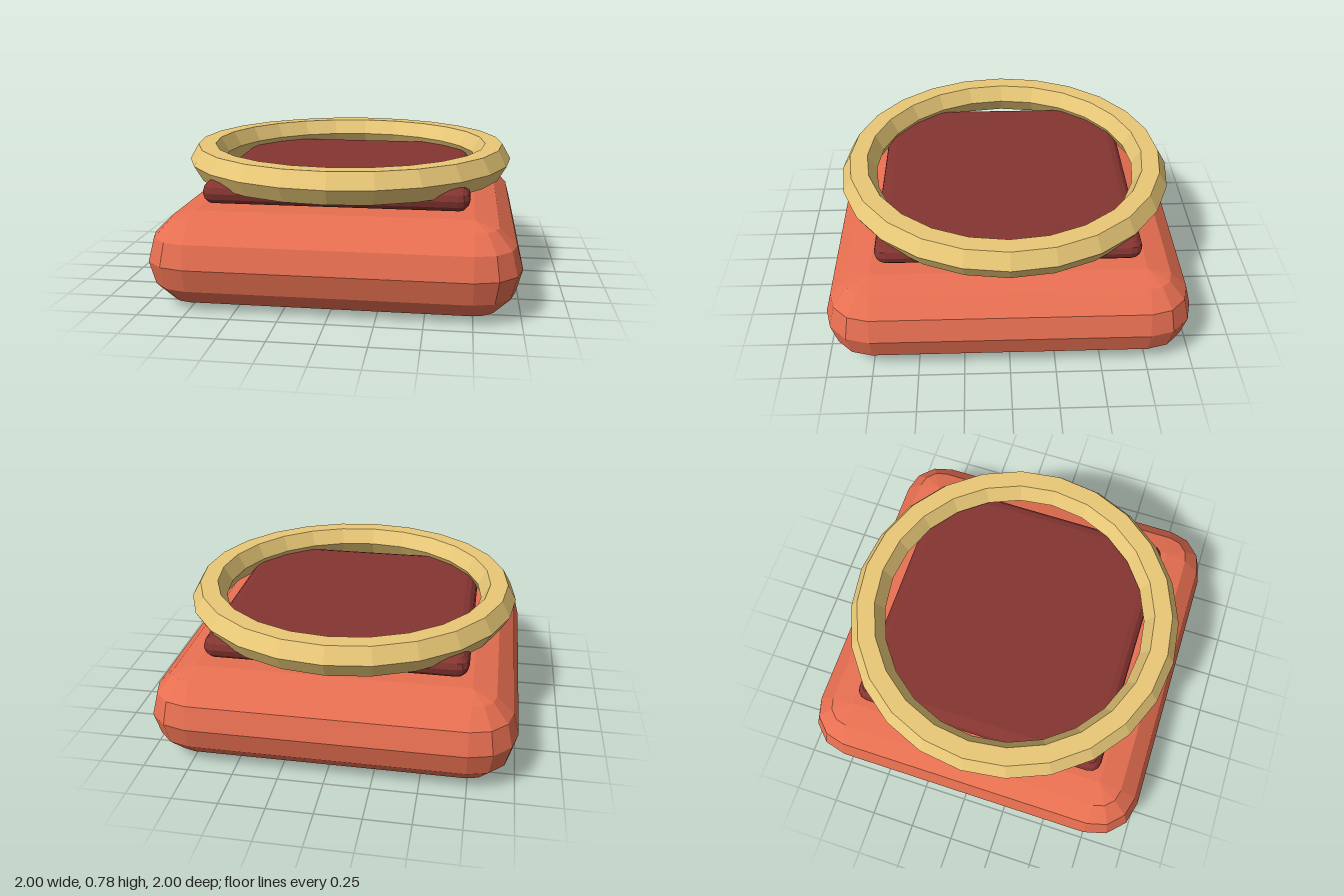
import * as THREE from 'three';

const mat = (color) => new THREE.MeshStandardMaterial({ color, flatShading: true });

// Square pillow with fully rounded rim: a loft of rounded-square rings, standing on y = 0
function pillowGeometry(half, height, steps) {
  const r = height / 2, core = half - r;
  const positions = [], index = [];
  const rows = steps * 2, count = 4 * (steps + 1);
  for (let i = 0; i <= rows; i++) {
    const lat = (i / rows - 0.5) * Math.PI;
    const ringR = r * Math.cos(lat), y = r + r * Math.sin(lat);
    for (let q = 0; q < 4; q++) {
      const sx = q === 0 || q === 3 ? 1 : -1, sz = q < 2 ? 1 : -1;
      for (let s = 0; s <= steps; s++) {
        const a = (q + s / steps) * Math.PI / 2;
        positions.push(sx * core + ringR * Math.cos(a), y, sz * core + ringR * Math.sin(a));
      }
    }
  }
  for (let i = 0; i < rows; i++) {
    for (let j = 0; j < count; j++) {
      const a = i * count + j, b = i * count + (j + 1) % count;
      const d = a + count, c = b + count;
      if (i < rows - 1 || j % (steps + 1) === steps) index.push(a, d, c);
      else index.push(a, d, b);
      if (i > 0 || j % (steps + 1) === steps) index.push(a, c, b);
    }
  }
  // Flat bottom and top
  const k = steps + 1, t = rows * count;
  index.push(0, k, 2 * k, 0, 2 * k, 3 * k);
  index.push(t, t + 2 * k, t + k, t, t + 3 * k, t + 2 * k);
  const g = new THREE.BufferGeometry();
  g.setAttribute('position', new THREE.Float32BufferAttribute(positions, 3));
  g.setIndex(index);
  g.computeVertexNormals();
  return g;
}

export function createModel() {
  const group = new THREE.Group();
  const add = (name, geometry, color, y) => {
    const mesh = new THREE.Mesh(geometry, mat(color));
    mesh.name = name;
    mesh.position.y = y;
    group.add(mesh);
  };

  // Thick rounded base
  add('base', pillowGeometry(1, 0.51, 3), 0xe76f51, 0);

  // Thin dark pad floating just above the base
  add('pad', pillowGeometry(0.72, 0.13, 3), 0x853531, 0.53);

  // Hexagonal-section ring around the pad
  add('ring', new THREE.TorusGeometry(0.85, 0.1, 6, 24).rotateX(-Math.PI / 2), 0xe9c877, 0.69);

  return group;
}
